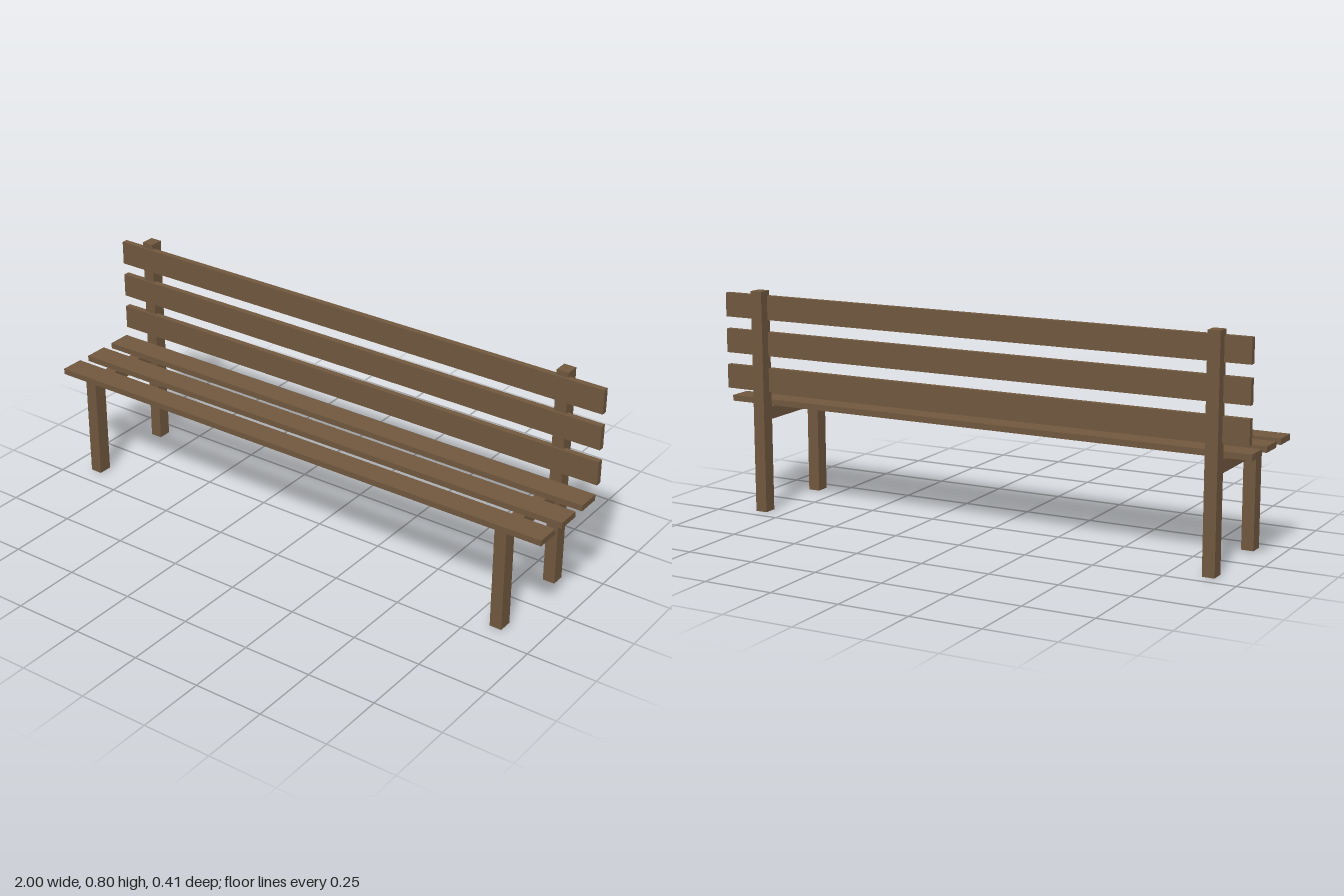
import * as THREE from 'three';

export function createModel() {
  const bench = new THREE.Group();
  bench.name = 'bench';
  const wood = new THREE.MeshStandardMaterial({ color: 0x70573e });

  // Box given by its extents on each axis
  function beam(name, [x0, x1], [y0, y1], [z0, z1], parent = bench) {
    const mesh = new THREE.Mesh(new THREE.BoxGeometry(x1 - x0, y1 - y0, z1 - z0), wood);
    mesh.position.set((x0 + x1) / 2, (y0 + y1) / 2, (z0 + z1) / 2);
    mesh.name = name;
    parent.add(mesh);
  }

  // Side frames: tall back post, seat rail and short front leg
  for (const [side, x] of [['right', -0.886], ['left', 0.844]]) {
    const frame = new THREE.Group();
    frame.name = side + 'Frame';
    const width = [x - 0.022, x + 0.022];
    beam('backPost', width, [0, 0.8], [-0.203, -0.154], frame);
    beam('seatRail', width, [0.335, 0.38], [-0.154, 0.19], frame);
    beam('frontLeg', width, [0.004, 0.335], [0.139, 0.19], frame);
    bench.add(frame);
  }

  // Three seat slats and three backrest slats
  for (let i = 0; i < 3; i++) {
    const z = 0.162 - i * 0.13;
    beam('seatSlat', [-1, 1], [0.382, 0.403], [z - 0.043, z + 0.043]);
    const y = 0.478 + i * 0.13;
    beam('backSlat', [-1, 1], [y - 0.043, y + 0.043], [-0.168, -0.146]);
  }
  return bench;
}
